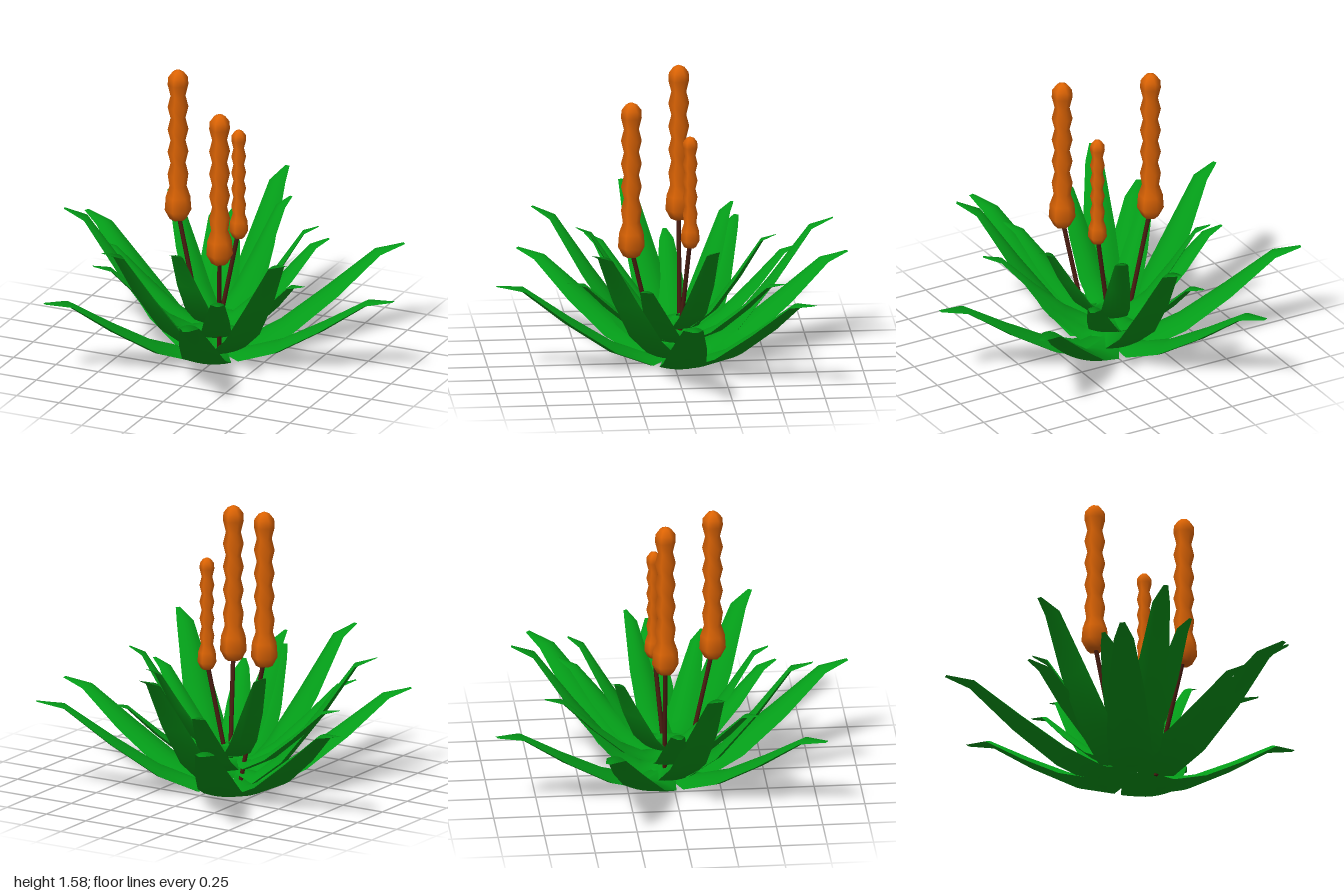
import * as THREE from 'three';

const green = new THREE.MeshStandardMaterial({ color: 0x049c18 });
const orange = new THREE.MeshStandardMaterial({ color: 0xdd6404 });
const brown = new THREE.MeshStandardMaterial({ color: 0x4a1c10 });

// Heart of the rosette
const CX = -0.055, CZ = -0.03;

// Leaf rows along the length: [distance, rise, width, thickness], all as fractions
const ROWS = [
  [0.02, 0.07, 0.5, 0], [0.18, 0, 1, 1], [0.38, 0.18, 1, 1],
  [0.62, 0.53, 0.82, 1], [0.86, 0.93, 0.46, 1], [1, 1, 0.12, 0],
];
const COLS = 6;

// Leaf along +z: a nearly flat underside and a rounded top, sharp at the rim
function leafGeometry(length, height, width, lift) {
  const pos = [], idx = [];
  const path = ROWS.map(([t, v]) => new THREE.Vector2(t * length, lift + (height - lift) * v));
  for (const top of [false, true]) {
    const start = pos.length / 3;
    path.forEach((p, i) => {
      const a = path[Math.max(i - 1, 0)], b = path[Math.min(i + 1, path.length - 1)];
      const d = b.clone().sub(a).normalize();
      const w = width * ROWS[i][2];
      const depth = w * ROWS[i][3] * (top ? 0.17 : -0.07);
      for (let j = 0; j <= COLS; j++) {
        const s = (j / COLS) * 2 - 1;
        const n = depth * (1 - s * s);
        pos.push(s * w / 2, p.y + n * d.x, p.x - n * d.y);
      }
    });
    for (let i = 0; i < path.length - 1; i++) {
      for (let j = 0; j < COLS; j++) {
        const a = start + i * (COLS + 1) + j, b = a + 1, c = a + COLS + 1, e = c + 1;
        if (top) idx.push(a, c, b, b, c, e);
        else idx.push(a, b, c, b, e, c);
      }
    }
  }
  const geo = new THREE.BufferGeometry();
  geo.setAttribute('position', new THREE.Float32BufferAttribute(pos, 3));
  geo.setIndex(idx);
  geo.computeVertexNormals();
  return geo;
}

// Whorls from the outside in, stacked upwards; each tip is [x, y, z]
const WHORLS = [
  { name: 'outerLeaf', width: 0.235, lift: 0.016, tips: [
    [-0.47, 0.46, -0.98], [0.755, 0.52, -0.7], [1, 0.46, -0.03],
    [0.235, 0.52, 0.975], [-0.69, 0.46, 0.78], [-1, 0.52, -0.43]] },
  { name: 'tallLeaf', width: 0.21, lift: 0.06, tips: [
    [-0.01, 0.785, -0.86], [0.605, 0.785, 0.485], [-0.37, 0.785, 0.73], [-0.835, 0.785, 0.21]] },
  { name: 'middleLeaf', width: 0.165, lift: 0.14, tips: [
    [-0.245, 0.57, -0.7], [0.37, 0.53, -0.57], [0.59, 0.57, 0.225],
    [0.25, 0.53, 0.59], [-0.565, 0.57, 0.425], [-0.745, 0.53, -0.02]] },
  { name: 'innerLeaf', width: 0.155, lift: 0.21, tips: [
    [0.16, 0.75, -0.54], [0.48, 0.75, -0.2], [-0.06, 0.75, 0.52], [-0.48, 0.75, -0.36]] },
];

// Six-sided flower spike: bulbous foot, four swellings, rounded tip
function spikeGeometry(height, radius) {
  const profile = [[0, 0], [0.62, 0], [1, 0.06], [0.92, 0.15], [0.64, 0.22]];
  for (let k = 0; k < 4; k++) {
    const y = 0.3 + k * 0.15;
    profile.push([0.78, y], [0.56, y + 0.075]);
  }
  profile.push([0.78, 0.9], [0.74, 0.95], [0.42, 0.985], [0, 1]);
  return new THREE.LatheGeometry(
    profile.map(([r, y]) => new THREE.Vector2(r * radius, y * height)), 6);
}

// Upright spike on a stem that leans out from root to the foot of the spike
function flower(root, foot, top, radius) {
  const g = new THREE.Group();
  g.name = 'flowerStalk';
  const spike = new THREE.Mesh(spikeGeometry(top - foot[1], radius), orange);
  spike.name = 'flowerSpike';
  spike.position.set(...foot);
  const from = new THREE.Vector3(...root);
  const to = new THREE.Vector3(...foot).setY(foot[1] + 0.04);
  const dir = to.clone().sub(from);
  const stem = new THREE.Mesh(
    new THREE.CylinderGeometry(0.012, 0.012, dir.length(), 6), brown);
  stem.name = 'flowerStem';
  stem.position.copy(from).add(to).multiplyScalar(0.5);
  stem.quaternion.setFromUnitVectors(new THREE.Vector3(0, 1, 0), dir.normalize());
  g.add(stem, spike);
  return g;
}

export function createModel() {
  const model = new THREE.Group();
  model.name = 'succulentPlant';

  // Leaves
  for (const { name, width, lift, tips } of WHORLS) {
    for (const [x, y, z] of tips) {
      const dx = x - CX, dz = z - CZ;
      const leaf = new THREE.Mesh(leafGeometry(Math.hypot(dx, dz), y, width, lift), green);
      leaf.name = name;
      leaf.position.set(CX, 0, CZ);
      leaf.rotation.y = Math.atan2(dx, dz);
      model.add(leaf);
    }
  }

  // Flowers
  model.add(
    flower([-0.13, 0.06, -0.045], [-0.285, 0.72, -0.055], 1.58, 0.072),
    flower([0.02, 0.01, 0.08], [0.095, 0.63, 0.235], 1.49, 0.072),
    flower([-0.045, 0.1, -0.035], [0.06, 0.66, -0.085], 1.28, 0.051),
  );
  return model;
}
